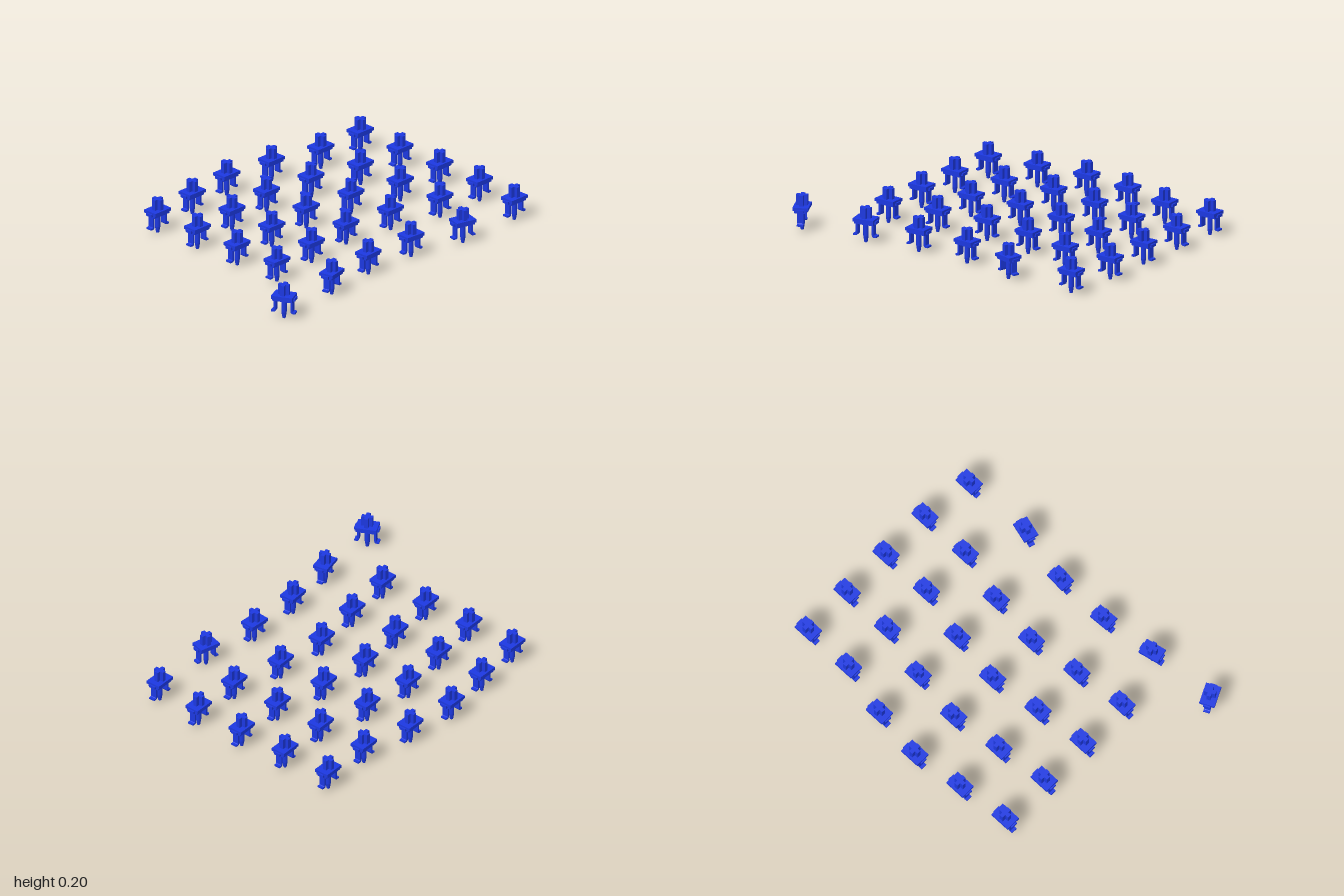
import * as THREE from 'three';

const material = new THREE.MeshStandardMaterial({ color: 0x1c38e0 });

function box(name, w, y0, y1, d) {
  const mesh = new THREE.Mesh(new THREE.BoxGeometry(w, y1 - y0, d), material);
  mesh.name = name;
  mesh.position.y = (y0 + y1) / 2;
  return mesh;
}

// Cross-shaped post outline, extruded upward
function crossGeometry(a, t, height) {
  const pts = [];
  for (let i = 0; i < 4; i++) {
    for (const p of [[a, -t], [a, t], [t, t]]) {
      pts.push(new THREE.Vector2(...p).rotateAround(new THREE.Vector2(), i * Math.PI / 2));
    }
  }
  return new THREE.ExtrudeGeometry(new THREE.Shape(pts), { depth: height, bevelEnabled: false })
    .rotateX(-Math.PI / 2);
}

// J-shaped side clip with its foot turned outward
function clipGeometry() {
  const s = new THREE.Shape();
  s.moveTo(0.043, 0.115);
  s.lineTo(0.043, 0.05);
  s.quadraticCurveTo(0.043, 0.036, 0.055, 0.036);
  s.lineTo(0.07, 0.036);
  s.lineTo(0.07, 0.046);
  s.lineTo(0.059, 0.046);
  s.quadraticCurveTo(0.054, 0.046, 0.054, 0.052);
  s.lineTo(0.054, 0.115);
  return new THREE.ExtrudeGeometry(s, { depth: 0.036, bevelEnabled: false, curveSegments: 4 })
    .translate(0, 0, -0.018);
}

const cross = crossGeometry(0.032, 0.0115, 0.065);
const clip = clipGeometry();

// Guide leg with a tapered tip; separate lathes keep the shoulder crisp
const lathe = (pts) => new THREE.LatheGeometry(pts.map(p => new THREE.Vector2(...p)), 16);
const legShaft = lathe([[0.015, 0.036], [0.015, 0.112]]);
const legTip = lathe([[0, 0], [0.009, 0], [0.009, 0], [0.015, 0.036]]);

function createStem() {
  const stem = new THREE.Group();
  stem.name = 'switchStem';

  // Stepped plate with side ears
  stem.add(box('plate', 0.123, 0.124, 0.142, 0.088));
  stem.add(box('plateUnderside', 0.115, 0.109, 0.125, 0.07));
  stem.add(box('plateEars', 0.14, 0.115, 0.131, 0.04));

  const post = new THREE.Mesh(cross, material);
  post.name = 'crossPost';
  post.position.y = 0.138;
  stem.add(post);

  for (const [name, g] of [['legShaft', legShaft], ['legTip', legTip]]) {
    const leg = new THREE.Mesh(g, material);
    leg.name = name;
    stem.add(leg);
  }

  for (const side of ['left', 'right']) {
    const c = new THREE.Mesh(clip, material);
    c.name = side + 'Clip';
    if (side === 'right') c.rotation.y = Math.PI;
    stem.add(c);
  }
  return stem;
}

export function createModel() {
  const model = new THREE.Group();
  model.name = 'switchStemArray';

  const place = (name, x, z, degrees = 0) => {
    const stem = createStem();
    stem.name = name;
    stem.position.set(x, 0, z);
    stem.rotation.y = THREE.MathUtils.degToRad(degrees);
    model.add(stem);
  };

  // Six staggered columns of four
  const columnStart = [-0.626, -0.664, -0.703, -0.664, -0.588, -0.588];
  columnStart.forEach((z, col) => {
    for (let row = 0; row < 4; row++) {
      place(`column${col + 1}Stem${row + 1}`, (col - 2) * 0.3085 + 0.001, z + row * 0.308);
    }
  });

  // Fanned front row: x, z, turn in degrees
  const fan = [
    [-0.933, 0.668, -64], [-0.524, 0.632, 12], [-0.195, 0.588, 3],
    [0.136, 0.59, -4], [0.47, 0.66, -15], [0.887, 0.645, 0],
  ];
  fan.forEach(([x, z, turn], i) => place(`fanStem${i + 1}`, x, z, turn));

  return model;
}
